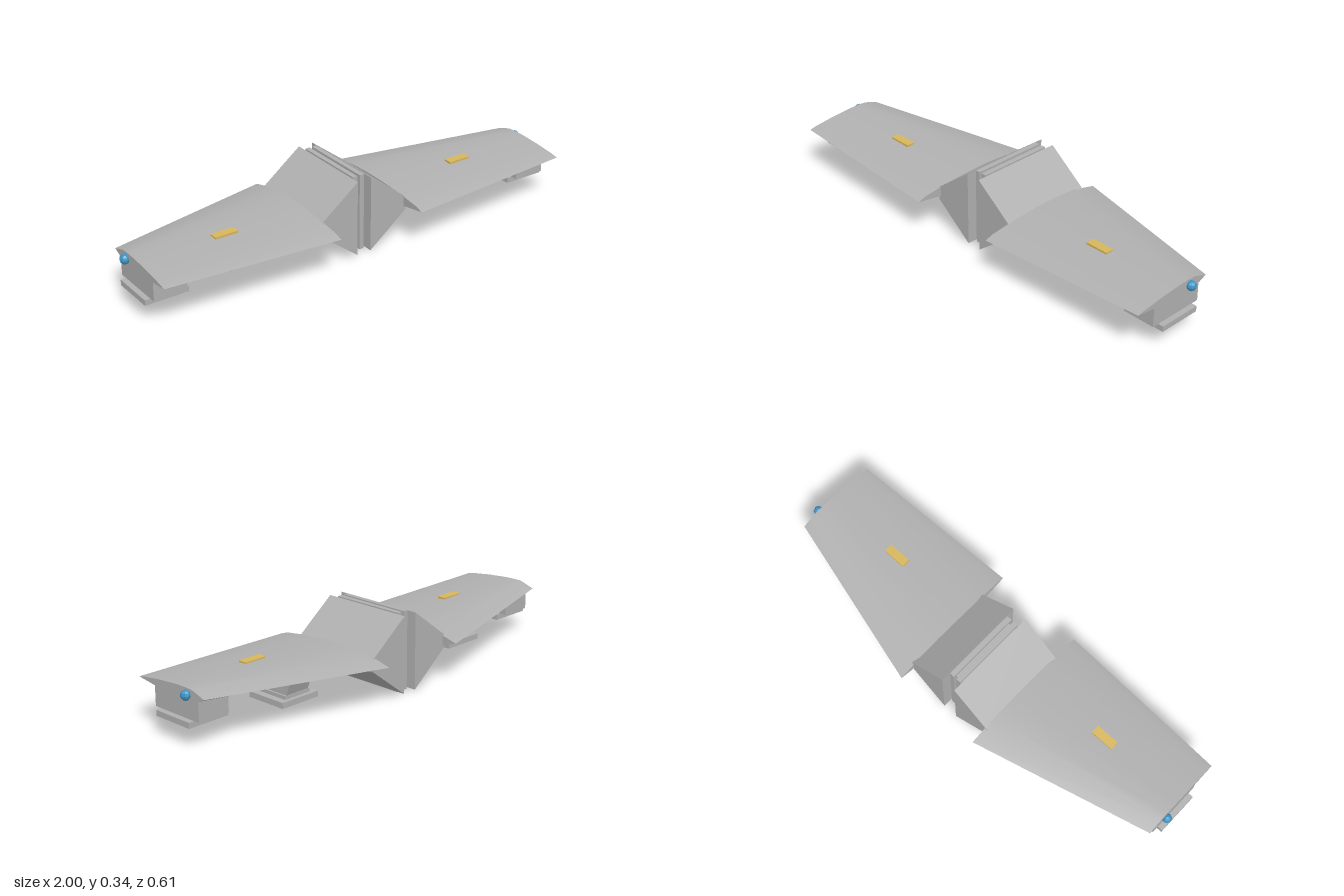
import * as THREE from 'three';
import { toCreasedNormals } from 'three/addons/utils/BufferGeometryUtils.js';

const material = (name, color) => {
  const m = new THREE.MeshStandardMaterial({ color });
  m.name = name;
  return m;
};

// Wing sections as [z, y], running front edge, top, rear edge, underside
const ROOT = [[0.305, 0.18], [0.27, 0.192], [0.15, 0.207], [0.03, 0.214], [-0.08, 0.216],
  [-0.185, 0.21], [-0.305, 0.179], [-0.185, 0.142], [0, 0.146], [0.185, 0.16]];
const TIP = [[0.272, 0.202], [0.24, 0.209], [0.15, 0.22], [0.05, 0.228], [0, 0.229],
  [-0.04, 0.227], [-0.105, 0.205], [-0.07, 0.189], [0.05, 0.187], [0.18, 0.19]];

// Skin between root and tip sections, capped at both ends
function wingGeometry(side) {
  const n = ROOT.length, pos = [], index = [];
  for (const [x, ring] of [[0.2, ROOT], [0.97, TIP]])
    for (const [z, y] of ring) pos.push(side * x, y, z);
  const tri = (a, b, c) => (side > 0 ? index.push(a, b, c) : index.push(a, c, b));
  for (let i = 0; i < n; i++) {
    const j = (i + 1) % n;
    tri(i, n + i, j);
    tri(j, n + i, n + j);
    if (i > 0 && i < n - 1) {
      tri(0, i, i + 1);
      tri(n, n + i + 1, n + i);
    }
  }
  const g = new THREE.BufferGeometry();
  g.setAttribute('position', new THREE.Float32BufferAttribute(pos, 3));
  g.setIndex(index);
  return toCreasedNormals(g, 0.4);
}

// Wedge that joins the centre slabs to the wing root
function wedgeGeometry(side) {
  const shape = new THREE.Shape([[0.033, 0.005], [0.21, 0.142], [0.21, 0.2], [0.033, 0.335]]
    .map(([x, y]) => new THREE.Vector2(side * x, y)));
  const g = new THREE.ExtrudeGeometry(shape, { depth: 0.417, bevelEnabled: false });
  return g.translate(0, 0, -0.232);
}

export function createModel() {
  const model = new THREE.Group();
  model.name = 'wingAssembly';
  const grey = material('hull grey', 0xb0b0b0);
  const yellow = material('marker yellow', 0xd6b65c);
  const blue = material('lamp blue', 0x3d93c2);

  const add = (parent, name, geometry, mat, x = 0, y = 0, z = 0) => {
    const mesh = new THREE.Mesh(geometry, mat);
    mesh.name = name;
    mesh.position.set(x, y, z);
    parent.add(mesh);
    return mesh;
  };
  // Box from its y range
  const box = (parent, name, w, y0, y1, d, x, z, mat = grey) =>
    add(parent, name, new THREE.BoxGeometry(w, y1 - y0, d), mat, x, (y0 + y1) / 2, z);

  // Square mounting plate with four bolts below
  const mount = (parent, x, y, z) => {
    box(parent, 'mountPlate', 0.19, y, y + 0.024, 0.19, x, z);
    for (const dx of [-0.057, 0.057])
      for (const dz of [-0.057, 0.057])
        add(parent, 'bolt', new THREE.CylinderGeometry(0.01, 0.01, 0.014, 6), grey,
          x + dx, y - 0.006, z + dz);
  };

  // Centre core, recessed between the slabs
  box(model, 'centreCore', 0.068, 0.015, 0.322, 0.31, 0, -0.025);

  for (const side of [1, -1]) {
    const half = new THREE.Group();
    half.name = side > 0 ? 'leftHalf' : 'rightHalf';
    model.add(half);

    box(half, 'centreSlab', 0.021, 0, 0.338, 0.337, side * 0.017, -0.024);
    add(half, 'rootWedge', wedgeGeometry(side), grey);
    add(half, 'wing', wingGeometry(side), grey);

    // Outer pod at the wing tip
    const outer = new THREE.Group();
    outer.name = 'outerPod';
    half.add(outer);
    box(outer, 'podBody', 0.145, 0.105, 0.198, 0.25, side * 0.895, 0.057);
    mount(outer, side * 0.895, 0.08, 0.057);

    // Inner pod with a neck that flares upward
    const inner = new THREE.Group();
    inner.name = 'innerPod';
    half.add(inner);
    const neck = new THREE.BoxGeometry(0.115, 0.08, 0.15);
    const p = neck.attributes.position;
    for (let i = 0; i < p.count; i++)
      if (p.getY(i) > 0) p.setZ(i, p.getZ(i) * 1.4);
    neck.computeVertexNormals();
    add(inner, 'podNeck', neck, grey, side * 0.488, 0.138, -0.01);
    box(inner, 'neckFoot', 0.13, 0.084, 0.1, 0.155, side * 0.488, -0.01);
    mount(inner, side * 0.488, 0.061, -0.01);

    // Marker plate on top and lamp at the tip
    box(half, 'markerPlate', 0.104, 0.217, 0.2265, 0.038, side * 0.583, 0.062, yellow);
    add(half, 'tipLamp', toCreasedNormals(new THREE.SphereGeometry(0.021, 8, 6), 0.1), blue,
      side * 0.979, 0.203, -0.012);
  }
  return model;
}
